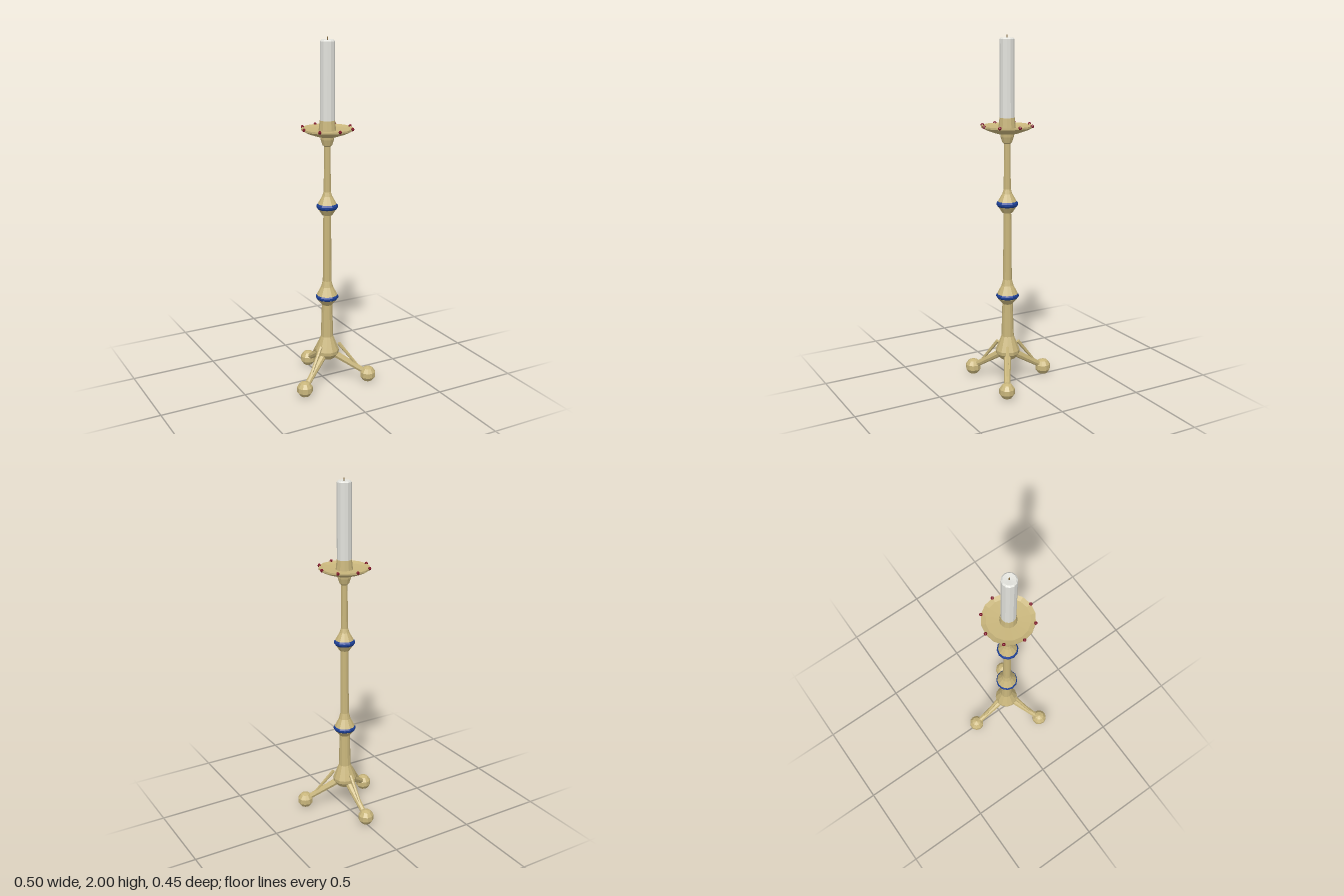
import * as THREE from 'three';

const flat = (name, color) => {
  const m = new THREE.MeshStandardMaterial({ color, flatShading: true });
  m.name = name;
  return m;
};

export function createModel() {
  const brass = flat('brass', 0xc9b67c);
  const enamel = flat('blue enamel', 0x1b3f96);
  const ruby = flat('red gem', 0x7d1024);
  const wax = flat('wax', 0xe2e2dc);
  const wickBrown = flat('wick', 0x7a6238);

  const model = new THREE.Group();
  model.name = 'candlestick';
  const stand = new THREE.Group();
  stand.name = 'stand';
  stand.position.z = 0.06; // tripod footprint is centred, so the axis sits forward
  model.add(stand);

  const add = (name, geometry, material, parent = stand) => {
    const mesh = new THREE.Mesh(geometry, material);
    mesh.name = name;
    parent.add(mesh);
    return mesh;
  };
  const turned = (name, profile, segments, material) =>
    add(name, new THREE.LatheGeometry(profile.map(([r, y]) => new THREE.Vector2(r, y)), segments), material);

  // Tapered rod between two points
  const rod = (name, a, b, ra, rb, sides, parent) => {
    const dir = b.clone().sub(a);
    const mesh = add(name, new THREE.CylinderGeometry(rb, ra, dir.length(), sides), brass, parent);
    mesh.position.copy(a).add(b).multiplyScalar(0.5);
    mesh.quaternion.setFromUnitVectors(new THREE.Vector3(0, 1, 0), dir.normalize());
    return mesh;
  };

  // Hub, shaft and two knops
  turned('shaft', [
    [0, 0.15], [0.045, 0.155], [0.068, 0.185], [0.07, 0.205], [0.052, 0.25], [0.036, 0.29],
    [0.03, 0.485], [0.034, 0.49], [0.06, 0.52], [0.06, 0.545], [0.034, 0.595], [0.025, 0.63],
    [0.022, 1.02], [0.03, 1.022], [0.055, 1.06], [0.055, 1.082], [0.028, 1.13], [0.02, 1.155],
    [0.018, 1.415],
  ], 12, brass);

  // Enamel bands around the knops
  for (const [y, r] of [[0.533, 0.065], [1.071, 0.061]]) {
    turned('knopBand', [
      [r - 0.007, y - 0.015], [r, y - 0.005], [r, y + 0.005], [r - 0.007, y + 0.015],
    ], 12, enamel);
  }

  // Cup under the drip pan
  turned('cup', [[0.018, 1.41], [0.027, 1.418], [0.037, 1.45], [0.04, 1.48]], 12, brass);

  // Drip pan with shallow dished top
  turned('dripPan', [
    [0.03, 1.465], [0.06, 1.468], [0.115, 1.487], [0.143, 1.502], [0.143, 1.512], [0.118, 1.503], [0.03, 1.498],
  ], 16, brass);

  // Candle socket
  turned('socket', [[0.048, 1.498], [0.042, 1.555], [0.036, 1.555]], 12, brass);

  // Gems around the rim
  for (let i = 0; i < 8; i++) {
    const a = (i * Math.PI) / 4;
    const gem = add('gem', new THREE.SphereGeometry(0.01, 6, 4), ruby);
    gem.position.set(0.143 * Math.sin(a), 1.511, 0.143 * Math.cos(a));
  }

  // Candle with softened top edge, and wick
  turned('candle', [[0.041, 1.5], [0.041, 1.978], [0.033, 1.986], [0, 1.982]], 12, wax);
  add('wick', new THREE.CylinderGeometry(0.004, 0.004, 0.02, 4), wickBrown).position.y = 1.99;

  // Three legs, each with a thin brace and a ball foot, modelled along -z
  for (let i = 0; i < 3; i++) {
    const leg = new THREE.Group();
    leg.name = 'leg';
    leg.rotation.y = (i * Math.PI * 2) / 3;
    stand.add(leg);
    rod('legBar', new THREE.Vector3(0, 0.185, -0.03), new THREE.Vector3(0, 0.055, -0.235), 0.022, 0.016, 8, leg);
    rod('brace', new THREE.Vector3(0, 0.242, -0.068), new THREE.Vector3(0, 0.075, -0.2), 0.011, 0.007, 6, leg);
    add('ballFoot', new THREE.SphereGeometry(0.047, 10, 5), brass, leg).position.set(0, 0.047 + 0.002, -0.24);
  }

  return model;
}
